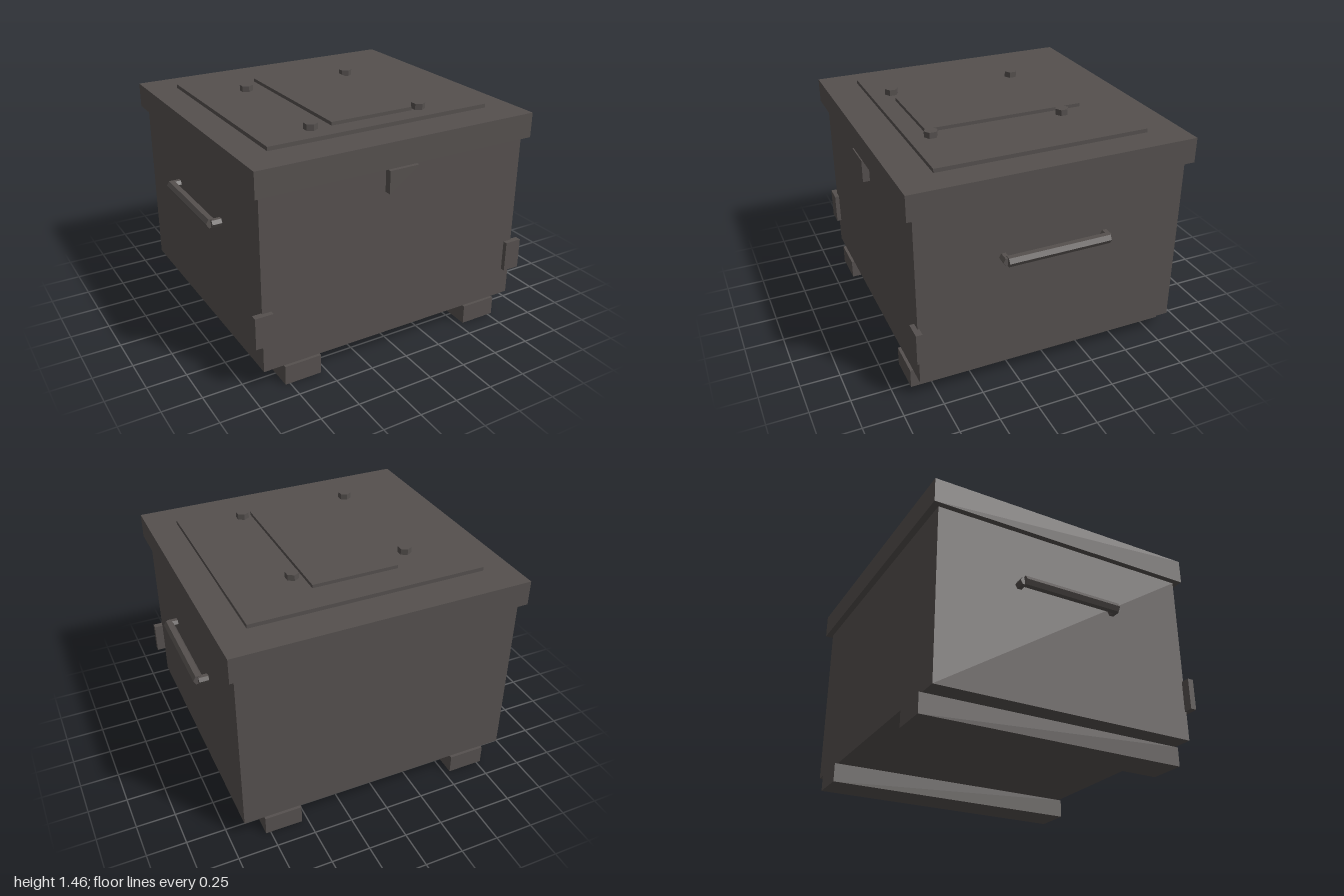
import * as THREE from 'three';

export function createModel() {
  const root = new THREE.Group();
  root.name = 'crate';
  const metal = new THREE.MeshStandardMaterial({ color: 0x55504e, flatShading: true });
  metal.name = 'darkGreyMetal';

  const add = (name, geometry) => {
    const mesh = new THREE.Mesh(geometry, metal);
    mesh.name = name;
    root.add(mesh);
    return mesh;
  };
  // Box given by its lower and upper limits on each axis
  const box = (name, x0, x1, y0, y1, z0, z1) =>
    add(name, new THREE.BoxGeometry(x1 - x0, y1 - y0, z1 - z0))
      .position.set((x0 + x1) / 2, (y0 + y1) / 2, (z0 + z1) / 2);

  // Body, overhanging lid and the stepped plates on top
  box('body', -0.908, 0.908, 0.125, 1.24, -0.863, 0.863);
  box('lid', -0.945, 0.945, 1.24, 1.4, -0.905, 0.905);
  box('lidPlate', -0.757, 0.757, 1.4, 1.425, -0.68, 0.68);
  box('centrePlate', -0.281, 0.281, 1.425, 1.447, -0.48, 0.557);

  // Hexagonal bolts
  for (const x of [-0.412, 0.342])
    for (const z of [-0.32, 0.542])
      add('bolt', new THREE.CylinderGeometry(0.043, 0.043, 0.04, 6)).position.set(x, 1.443, z);

  // Front latch
  box('latch', -0.1, 0.1, 1.085, 1.229, 0.86, 0.907);

  for (const s of [-1, 1]) {
    const side = s < 0 ? 'right' : 'left';
    // Skid and front corner bracket
    const span = (a, b) => (s < 0 ? [-b, -a] : [a, b]);
    box(side + 'Skid', ...span(0.54, 0.78), 0, 0.125, -0.882, 0.882);
    box(side + 'CornerBracket', ...span(0.85, 0.965), 0.313, 0.516, 0.852, 0.892);

    // Handle: hexagonal bar on two hexagonal posts
    const bar = new THREE.CylinderGeometry(0.033, 0.033, 0.66, 6);
    bar.rotateY(Math.PI / 2).rotateX(Math.PI / 2);
    add(side + 'HandleBar', bar).position.set(s * 0.967, 0.868, 0);
    for (const z of [-0.33, 0.33]) {
      const post = new THREE.CylinderGeometry(0.027, 0.027, 0.08, 6);
      post.rotateZ(Math.PI / 2);
      add(side + 'HandlePost', post).position.set(s * 0.93, 0.868, z);
    }
  }
  return root;
}
